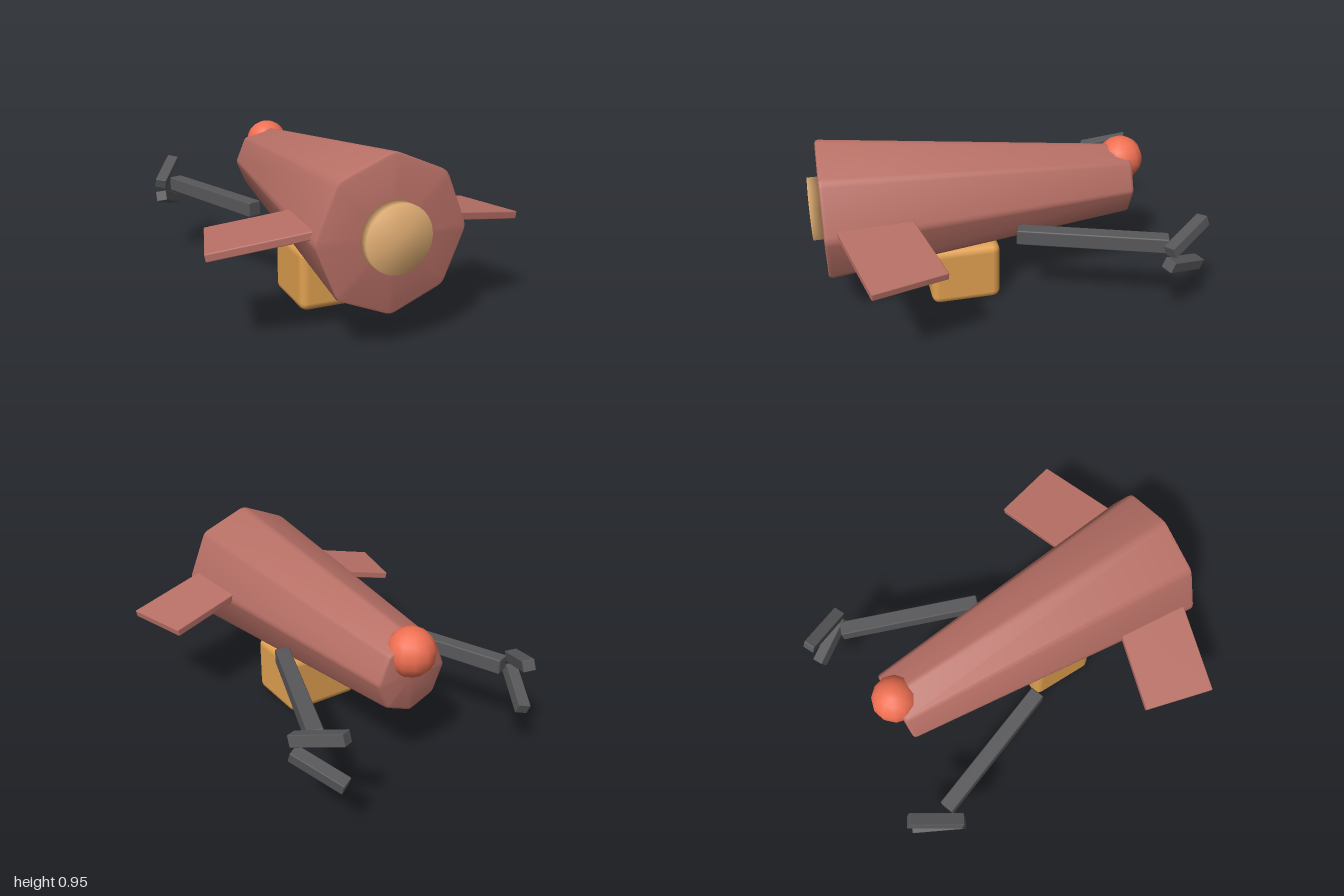
import * as THREE from 'three';
import { mergeVertices, toCreasedNormals } from 'three/addons/utils/BufferGeometryUtils.js';
import { RoundedBoxGeometry } from 'three/addons/geometries/RoundedBoxGeometry.js';

const mat = (color) => new THREE.MeshStandardMaterial({ color });
const deg = THREE.MathUtils.degToRad;

// Octagon with a corner at the top and softened corners, unit radius
function octagon() {
  const corner = (i) => new THREE.Vector2(Math.sin(-i * Math.PI / 4), Math.cos(i * Math.PI / 4));
  const points = [];
  for (let i = 0; i < 8; i++) {
    const c = corner(i);
    points.push(c.clone().lerp(corner(i - 1), 0.09));
    points.push(c.clone().multiplyScalar(0.988));
    points.push(c.clone().lerp(corner(i + 1), 0.09));
  }
  return points;
}

// Skin a section through [z, radius] rings running from front to back
function loft(section, rings) {
  const n = section.length;
  const position = [];
  const point = (k, i) => {
    const p = section[i % n], [z, r] = rings[k];
    position.push(p.x * r, p.y * r, z);
  };
  for (let k = 0; k < rings.length - 1; k++) {
    for (let i = 0; i < n; i++) {
      if (k < rings.length - 2) { point(k, i); point(k + 1, i); point(k + 1, i + 1); }
      if (k > 0) { point(k, i); point(k + 1, i + 1); point(k, i + 1); }
    }
  }
  const g = new THREE.BufferGeometry();
  g.setAttribute('position', new THREE.Float32BufferAttribute(position, 3));
  return toCreasedNormals(g, deg(50));
}

// Share all vertices so that the whole surface shades softly
function soften(g) {
  g.deleteAttribute('normal');
  g.deleteAttribute('uv');
  const merged = mergeVertices(g, 1e-4);
  merged.computeVertexNormals();
  return merged;
}

export function createModel() {
  const model = new THREE.Group();
  const bodyMat = mat(0xb87066);
  const metalMat = mat(0x58585a);
  const boxMat = mat(0xe0a050);
  const lensMat = mat(0xe8b478);
  const ballMat = mat(0xf07052);

  const add = (name, geometry, material, position, rotation = [0, 0, 0]) => {
    const mesh = new THREE.Mesh(geometry, material);
    mesh.name = name;
    mesh.position.set(...position);
    mesh.rotation.set(...rotation.map(deg));
    model.add(mesh);
  };

  // Tapering eight-sided body
  add('body', loft(octagon(), [
    [0.94, 0], [0.94, 0.372], [0.935, 0.384], [0.92, 0.388],
    [-0.72, 0.205], [-0.735, 0.199], [-0.74, 0.187], [-0.74, 0],
  ]), bodyMat, [0, 0.565, 0]);

  // Front disc
  add('frontLens', soften(new THREE.CylinderGeometry(0.167, 0.167, 0.055, 32)),
    lensMat, [0, 0.565, 0.9725], [90, 0, 0]);

  // Ball on the rear end
  add('rearBall', new THREE.SphereGeometry(0.125, 12, 10), ballMat, [0, 0.685, -0.72]);

  // Box slung under the body
  add('bellyBox', new RoundedBoxGeometry(0.45, 0.34, 0.385, 2, 0.045), boxMat, [0, 0.17, 0.21]);

  // Wings, arms and claws on both sides
  for (const s of [1, -1]) {
    const side = s > 0 ? 'left' : 'right';
    add(side + 'Wing', new RoundedBoxGeometry(0.6, 0.04, 0.382, 1, 0.006),
      bodyMat, [s * 0.482, 0.562, 0.646], [0, s * 15, s * -10]);
    add(side + 'Arm', new RoundedBoxGeometry(0.08, 0.083, 0.782, 1, 0.007),
      metalMat, [s * 0.45, 0.453, -0.413], [0, s * -20, 0]);
    for (const v of [1, -1]) {
      add(side + (v > 0 ? 'UpperClaw' : 'LowerClaw'),
        new RoundedBoxGeometry(0.065, 0.06, 0.287, 1, 0.004),
        metalMat, [s * 0.617, 0.425 + v * 0.083, -0.86], [v * 21, s * 28, 0]);
    }
  }
  return model;
}
